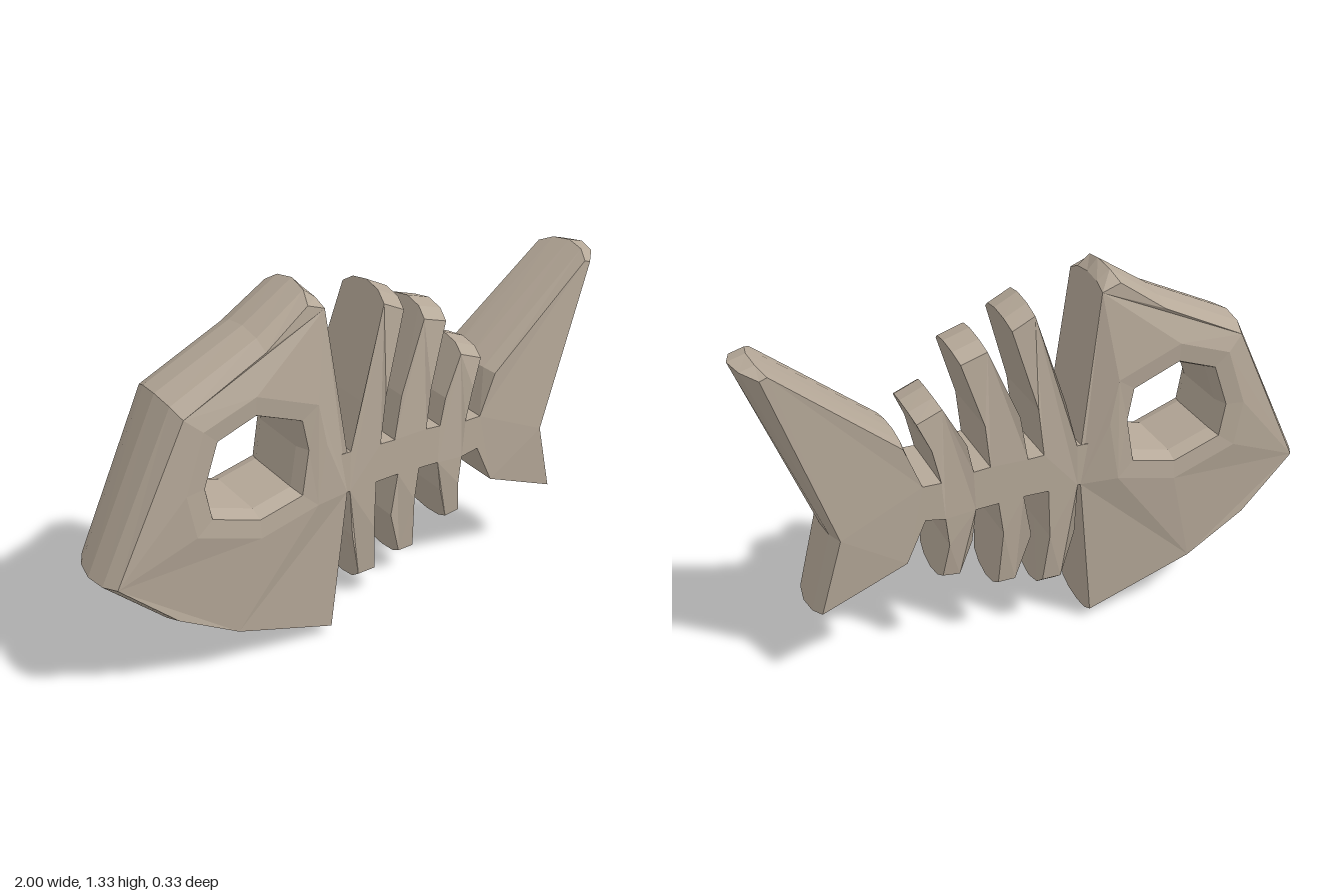
import * as THREE from 'three';

const material = new THREE.MeshStandardMaterial({ color: 0xb5a898, flatShading: true });

// Collects triangles; every face is mirrored to the back by the callers.
function makeMesh(name, tris) {
  const geo = new THREE.BufferGeometry();
  geo.setAttribute('position', new THREE.Float32BufferAttribute(tris.flat(2), 3));
  geo.computeVertexNormals();
  const mesh = new THREE.Mesh(geo, material);
  mesh.name = name;
  return mesh;
}

// Wall between two matching rings of [x, y, z]; counter-clockwise rings face outwards.
function wall(tris, back, front) {
  back.forEach((a, i) => {
    const j = (i + 1) % back.length;
    tris.push([a, back[j], front[j]], [a, front[j], front[i]]);
  });
}

// Front and mirrored back face filling a ring, with an optional hole ring.
function cap(tris, ring, hole) {
  const v2 = (r) => r.map((p) => new THREE.Vector2(p[0], p[1]));
  const all = hole ? [...ring, ...hole] : ring;
  for (const f of THREE.ShapeUtils.triangulateShape(v2(ring), hole ? [v2(hole)] : [])) {
    let [a, b, c] = f.map((k) => all[k]);
    const area = (b[0] - a[0]) * (c[1] - a[1]) - (b[1] - a[1]) * (c[0] - a[0]);
    if (area < 0) [b, c] = [c, b];
    tris.push([a, b, c], [flip(a), flip(c), flip(b)]);
  }
}
const flip = ([x, y, z]) => [x, y, -z];

// Rounded rim of a slab. Points are [x, y, inner x, inner y, half depth], clockwise.
// Returns the front ring for capping.
function rim(tris, points) {
  const pts = points.map(([x, y, ix = x, iy = y, z = 0.14]) => [x, y, ix, iy, z]).reverse();
  const ring = (t, k) => pts.map(([x, y, ix, iy, z]) =>
    [x + (ix - x) * t, y + (iy - y) * t, z * k]);
  const stations = [[1, -1], [0.3, -0.6], [0, 0], [0.3, 0.6], [1, 1]];
  for (let i = 0; i < 4; i++) wall(tris, ring(...stations[i]), ring(...stations[i + 1]));
  return ring(1, 1);
}

function slab(name, points) {
  const tris = [];
  cap(tris, rim(tris, points));
  return makeMesh(name, tris);
}

// Head: domed around an eye hole, chamfered except along its rear edge
function makeHead() {
  const tris = [];
  const front = rim(tris, [
    [-1, 0.503, -0.96, 0.51, 0.13],
    [-0.725, 1.07, -0.705, 1.035, 0.145],
    [-0.41, 1.214, -0.41, 1.175, 0.14],
    [-0.227, 1.33, -0.25, 1.285, 0.127],
    [-0.19, 1.29, -0.187, 1.26, 0.125],
    [-0.115, 0.73, -0.115, 0.73, 0.14],
    [-0.115, 0.578, -0.115, 0.578, 0.14],
    [-0.174, 0, -0.17, 0.035, 0.12],
    [-0.564, 0.155, -0.55, 0.185, 0.14],
    [-0.789, 0.3, -0.765, 0.32, 0.14],
  ]);
  const eye = [[-0.463, 0.984], [-0.297, 0.914], [-0.275, 0.8], [-0.302, 0.64],
    [-0.463, 0.604], [-0.634, 0.668], [-0.655, 0.786], [-0.602, 0.936]];
  const eyeRing = (s, z) => eye.map(([x, y]) => [-0.465 + (x + 0.465) * s, 0.795 + (y - 0.795) * s, z]);
  const dome = eyeRing(1.35, 0.164);
  cap(tris, front, dome);
  cap(tris, dome, eyeRing(1, 0.158));
  // Eye tunnel, clockwise so that it faces inwards
  const tunnel = [[1, -0.158], [0.9, -0.11], [0.9, 0.11], [1, 0.158]];
  for (let i = 0; i < 3; i++) wall(tris, eyeRing(...tunnel[i]), eyeRing(...tunnel[i + 1]));
  return makeMesh('head', tris);
}

export function createModel() {
  const group = new THREE.Group();
  group.name = 'fishSkeleton';
  group.add(makeHead());

  // Spine with three ribs above and three below; rib tips are rounded in depth
  group.add(slab('spineAndRibs', [
    [-0.16, 0.578], [-0.16, 0.73], [-0.1, 0.73],
    [-0.056, 0.9], [0.056, 1.257, 0.043, 1.215, 0.118], [0.136, 1.215, 0.122, 1.175, 0.118], [0.04, 0.893],
    [0.02, 0.72], [0.078, 0.717],
    [0.104, 0.877], [0.222, 1.16, 0.206, 1.12, 0.118], [0.313, 1.13, 0.297, 1.09, 0.118], [0.227, 0.87],
    [0.211, 0.717], [0.27, 0.711],
    [0.29, 0.813], [0.382, 0.984, 0.364, 0.95, 0.122], [0.468, 0.947, 0.452, 0.913, 0.122], [0.41, 0.818],
    [0.382, 0.695], [0.446, 0.695], [0.441, 0.567],
    [0.372, 0.556], [0.361, 0.45], [0.388, 0.29, 0.382, 0.325, 0.122], [0.334, 0.283, 0.322, 0.318, 0.122],
    [0.281, 0.45], [0.265, 0.567], [0.184, 0.572],
    [0.168, 0.45], [0.184, 0.203, 0.181, 0.243, 0.118], [0.131, 0.203, 0.119, 0.243, 0.118],
    [0.067, 0.42], [0.094, 0.578], [0.003, 0.578],
    [-0.003, 0.396], [0.019, 0.158, 0.015, 0.21, 0.118], [-0.045, 0.158, -0.054, 0.21, 0.118],
    [-0.094, 0.396], [-0.104, 0.578],
  ]));

  // Tail fin with a rounded trailing edge
  group.add(slab('tailFin', [
    [0.441, 0.567], [0.446, 0.695], [0.495, 0.85, 0.505, 0.845, 0.14],
    [0.939, 1.198, 0.905, 1.165, 0.122], [1, 1.18, 0.93, 1.155, 0.122],
    [0.762, 0.56, 0.73, 0.56, 0.145], [0.837, 0.273, 0.805, 0.287, 0.13],
    [0.51, 0.417],
  ]));
  return group;
}
